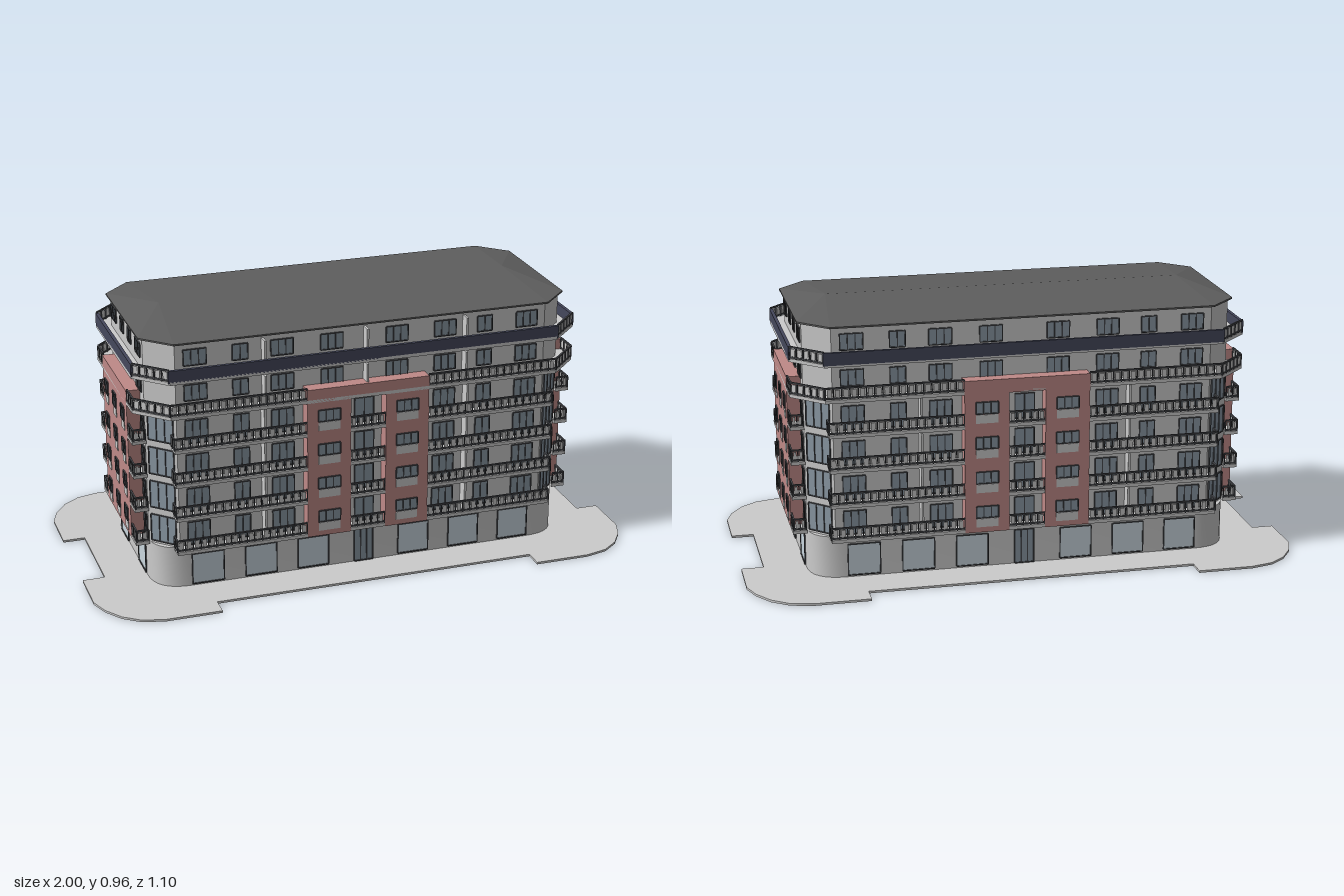
import * as THREE from 'three';
import { mergeGeometries, toCreasedNormals } from 'three/addons/utils/BufferGeometryUtils.js';
import { ConvexGeometry } from 'three/addons/geometries/ConvexGeometry.js';

const WALL = 0xcccccc, RED = 0xbf8a88, DARK = 0x45474b, GLASS = 0x8b99a5,
  SHOP = 0xc9d6de, NAVY = 0x45485c, ROOF = 0x5e5e5e;
const HX = 0.77, HZ = 0.33;      // wall half sizes
const BX = 0.82, BZ = 0.38;      // balcony edge half sizes
const STOREY = 0.128, FIRST = 0.16;

export function createModel() {
  const parts = {};

  // Collect geometry per named part; everything is merged at the end
  function add(name, color, geo, matrix) {
    if (matrix) geo.applyMatrix4(matrix);
    geo.deleteAttribute('uv');
    (parts[name] ??= { color, list: [] }).list.push(geo.index ? geo.toNonIndexed() : geo);
  }
  // Box between two corners
  function box(name, color, x0, x1, y0, y1, z0, z1, matrix) {
    const g = new THREE.BoxGeometry(x1 - x0, y1 - y0, z1 - z0);
    g.translate((x0 + x1) / 2, (y0 + y1) / 2, (z0 + z1) / 2);
    add(name, color, g, matrix);
  }
  // Facade frame: local x runs along the wall, local z points outward
  const face = (angle) => new THREE.Matrix4().makeRotationY(angle);

  // Rectangle with chamfered or rounded corners, extruded upward
  function outline(hx, hz, c, round) {
    const s = new THREE.Shape();
    s.moveTo(hx, -hz + c);
    s.lineTo(hx, hz - c);
    const turn = (cx, cy, x, y) => round ? s.quadraticCurveTo(cx, cy, x, y) : s.lineTo(x, y);
    turn(hx, hz, hx - c, hz);
    s.lineTo(-hx + c, hz);
    turn(-hx, hz, -hx, hz - c);
    s.lineTo(-hx, -hz + c);
    turn(-hx, -hz, -hx + c, -hz);
    s.lineTo(hx - c, -hz);
    turn(hx, -hz, hx, -hz + c);
    return s;
  }
  function slab(name, color, shape, y0, y1) {
    const g = new THREE.ExtrudeGeometry(shape, { depth: y1 - y0, bevelEnabled: false, curveSegments: 8 });
    g.rotateX(-Math.PI / 2).translate(0, y0, 0);
    add(name, color, toCreasedNormals(g, 0.6));
  }

  // Framed window with a centre mullion, proud of a wall at distance d
  function win(m, u, y, w, h, d, glass = GLASS, leaves = 2) {
    const t = 0.004, o = d + 0.005;
    box(glass === SHOP ? 'shopGlass' : 'windowGlass', glass, u - w / 2, u + w / 2, y, y + h, d - 0.004, d + 0.002, m);
    for (let i = 0; i <= leaves; i++) {
      const x = u - w / 2 + (w * i) / leaves;
      box('windowFrames', DARK, x - t / 2, x + t / 2, y, y + h, d - 0.004, o, m);
    }
    for (const yy of [y, y + h])
      box('windowFrames', DARK, u - w / 2, u + w / 2, yy - t / 2, yy + t / 2, d - 0.004, o, m);
  }

  // Railing from one plan point to another: posts, two bars, pale infill
  function rail(x0, z0, x1, z1, y) {
    const len = Math.hypot(x1 - x0, z1 - z0), h = 0.042;
    const m = face(Math.atan2(-(z1 - z0), x1 - x0)).setPosition(x0, y, z0);
    const n = Math.max(1, Math.round(len / 0.028)), step = len / n;
    for (const yy of [0.006, h])
      box('railings', DARK, 0, len, yy - 0.003, yy + 0.003, -0.003, 0.003, m);
    for (let i = 0; i <= n; i++) {
      box('railings', DARK, i * step - 0.002, i * step + 0.002, 0, h, -0.003, 0.003, m);
      if (i < n) box('railingPanels', WALL, i * step + 0.006, (i + 1) * step - 0.006, 0.009, h - 0.006, -0.001, 0.001, m);
    }
  }

  // Pavement with widened, rounded corners
  const pave = new THREE.Shape();
  const quarter = [[0.92, 0], [0.92, 0.17], [1, 0.17], [1, 0.35], [0.975, 0.42], [0.93, 0.485],
    [0.87, 0.53], [0.79, 0.55], [0.59, 0.55], [0.59, 0.48], [0, 0.48]];
  const back = [...quarter].reverse();
  const loop = [...quarter, ...back.map(([x, z]) => [-x, z]),
    ...quarter.map(([x, z]) => [-x, -z]), ...back.map(([x, z]) => [x, -z])]
    .filter((p, i, a) => i === 0 || p[0] !== a[i - 1][0] || p[1] !== a[i - 1][1]);
  pave.setFromPoints(loop.slice(0, -1).map(([x, z]) => new THREE.Vector2(x, z)));
  slab('pavement', WALL, pave, 0, 0.008);

  // Main volume: rounded shop floor, chamfered storeys above
  slab('groundFloor', WALL, outline(HX, HZ, 0.13, true), 0.008, FIRST);
  slab('upperWalls', WALL, outline(HX, HZ, 0.09), FIRST, 0.922);

  // Hipped roof
  const eave = outline(0.785, 0.345, 0.1).getPoints();
  const roofPts = eave.flatMap((p) => [0.92, 0.926].map((y) => new THREE.Vector3(p.x, y, p.y)));
  roofPts.push(new THREE.Vector3(-0.65, 0.958, 0), new THREE.Vector3(0.65, 0.958, 0));
  add('roof', ROOF, new ConvexGeometry(roofPts));

  // Long facades
  for (const angle of [0, Math.PI]) {
    const m = face(angle), s = angle ? -1 : 1;
    for (const u of [-0.58, -0.385, -0.19, 0.19, 0.385, 0.58]) win(m, u, 0.015, 0.115, 0.115, HZ, SHOP, 1);
    win(m, 0, 0.01, 0.07, 0.125, HZ, GLASS, 3);

    // Red projecting bay around a central loggia
    for (const k of [-1, 1])
      box('redBays', RED, k < 0 ? -0.225 : 0.065, k < 0 ? -0.065 : 0.225, 0.155, 0.715, HZ, BZ, m);
    box('redBays', RED, -0.065, 0.065, 0.665, 0.715, HZ, BZ, m);

    for (let f = 0; f < 4; f++) {
      const y = FIRST + f * STOREY;
      box('balconySlabs', WALL, -0.065, 0.065, y - 0.005, y + 0.007, HZ, BZ - 0.002, m);
      rail(-0.065, s * (BZ - 0.006), 0.065, s * (BZ - 0.006), y + 0.007);
      win(m, 0, y + 0.01, 0.07, 0.09, HZ);
      for (const k of [-1, 1]) {
        win(m, k * 0.145, y + 0.05, 0.08, 0.042, BZ, GLASS, 3);
        box('windowAprons', WALL, k * 0.145 - 0.04, k * 0.145 + 0.04, y + 0.015, y + 0.046, BZ - 0.002, BZ + 0.002, m);
        // Balcony beside the bay, with a partition
        const a = k < 0 ? -0.7 : 0.225, b = k < 0 ? -0.225 : 0.7;
        box('balconySlabs', WALL, a, b, y - 0.005, y + 0.007, HZ, BZ, m);
        rail(a, s * (BZ - 0.004), b, s * (BZ - 0.004), y + 0.007);
        rail(k * 0.7, s * (HZ + 0.003), k * 0.7, s * (BZ - 0.004), y + 0.007);
        box('balconyPartitions', WALL, k * 0.375 - 0.004, k * 0.375 + 0.004, y, y + 0.118, HZ, BZ - 0.008, m);
        for (const [u, w] of [[0.3, 0.08], [0.45, 0.055], [0.61, 0.08]])
          win(m, k * u, y + 0.01, w, 0.085, HZ, GLASS, w > 0.06 ? 3 : 2);
      }
    }
    // Two set-back storeys
    for (const y of [0.672, 0.8]) {
      for (const k of [-1, 1])
        for (const [u, w] of [[0.12, 0.08], [0.3, 0.08], [0.45, 0.055], [0.61, 0.08]])
          win(m, k * u, y + 0.04, w, 0.057, HZ, GLASS, w > 0.06 ? 3 : 2);
      if (s > 0) for (const u of [-0.37, 0, 0.37])
        box('balconyPartitions', WALL, u - 0.004, u + 0.004, y, y + 0.11, HZ, BZ - 0.012, m);
    }
    for (const k of [-1, 1]) rail(k * 0.225, s * (BZ - 0.004), k * 0.71, s * (BZ - 0.004), 0.677);
    box('darkParapet', NAVY, -0.715, 0.715, 0.8, 0.845, BZ - 0.012, BZ, m);
  }

  // Short facades
  for (const s of [1, -1]) {
    const m = face(s * Math.PI / 2);
    for (const u of [-0.135, 0.135]) win(m, u, 0.015, 0.11, 0.115, HX, SHOP, 1);
    box('redBays', RED, -0.185, 0.185, 0.155, 0.715, HX, BX, m);
    for (let f = 0; f < 4; f++) {
      const y = FIRST + f * STOREY;
      for (const u of [-0.125, 0, 0.125]) {
        win(m, u, y + 0.046, 0.045, 0.05, BX);
        box('windowAprons', WALL, u - 0.022, u + 0.022, y + 0.008, y + 0.043, BX - 0.002, BX + 0.002, m);
      }
      for (const k of [-1, 1]) {
        const a = k < 0 ? -0.255 : 0.185, b = k < 0 ? -0.185 : 0.255;
        box('balconySlabs', WALL, a, b, y - 0.005, y + 0.007, HX, BX, m);
        rail(s * (BX - 0.004), a, s * (BX - 0.004), b, y + 0.007);
        rail(s * (HX + 0.003), k * 0.252, s * (BX - 0.004), k * 0.252, y + 0.007);
        win(m, k * 0.212, y + 0.01, 0.04, 0.09, HX);
      }
    }
    for (const y of [0.672, 0.8])
      for (const [u, w] of [[0.18, 0.07], [0.055, 0.045]])
        for (const k of [-1, 1]) win(m, k * u, y + 0.045, w, 0.05, HX, GLASS, w > 0.06 ? 3 : 2);
    for (const k of [-1, 1]) rail(s * (BX - 0.004), k * 0.185, s * (BX - 0.004), k * 0.27, 0.677);
    box('darkParapet', NAVY, -0.275, 0.275, 0.8, 0.845, BX - 0.012, BX, m);
  }

  // Chamfered corners: French windows, railings on the two upper terraces
  for (let i = 0; i < 4; i++) {
    const m = face(Math.PI / 4 + i * Math.PI / 2), k = i % 2 ? -1 : 1;
    const u = k * (HX - HZ) * Math.SQRT1_2, d = (HX + HZ - 0.09) * Math.SQRT1_2;
    for (let f = 0; f < 4; f++) win(m, u, FIRST + f * STOREY + 0.01, 0.1, 0.1, d, GLASS, 3);
    const sx = i < 2 ? 1 : -1, sz = i === 0 || i === 3 ? 1 : -1;
    for (const y of [0.677, 0.805])
      rail(sx * (BX - 0.004), sz * 0.272, sx * 0.712, sz * (BZ - 0.004), y);
  }

  // Continuous terrace slabs
  for (const y of [0.672, 0.8]) slab('terraceSlabs', WALL, outline(BX, BZ, 0.11), y - 0.007, y + 0.005);

  const model = new THREE.Group();
  model.name = 'apartmentBuilding';
  for (const [name, { color, list }] of Object.entries(parts)) {
    const mesh = new THREE.Mesh(mergeGeometries(list), new THREE.MeshStandardMaterial({ color }));
    mesh.name = name;
    model.add(mesh);
  }
  return model;
}
